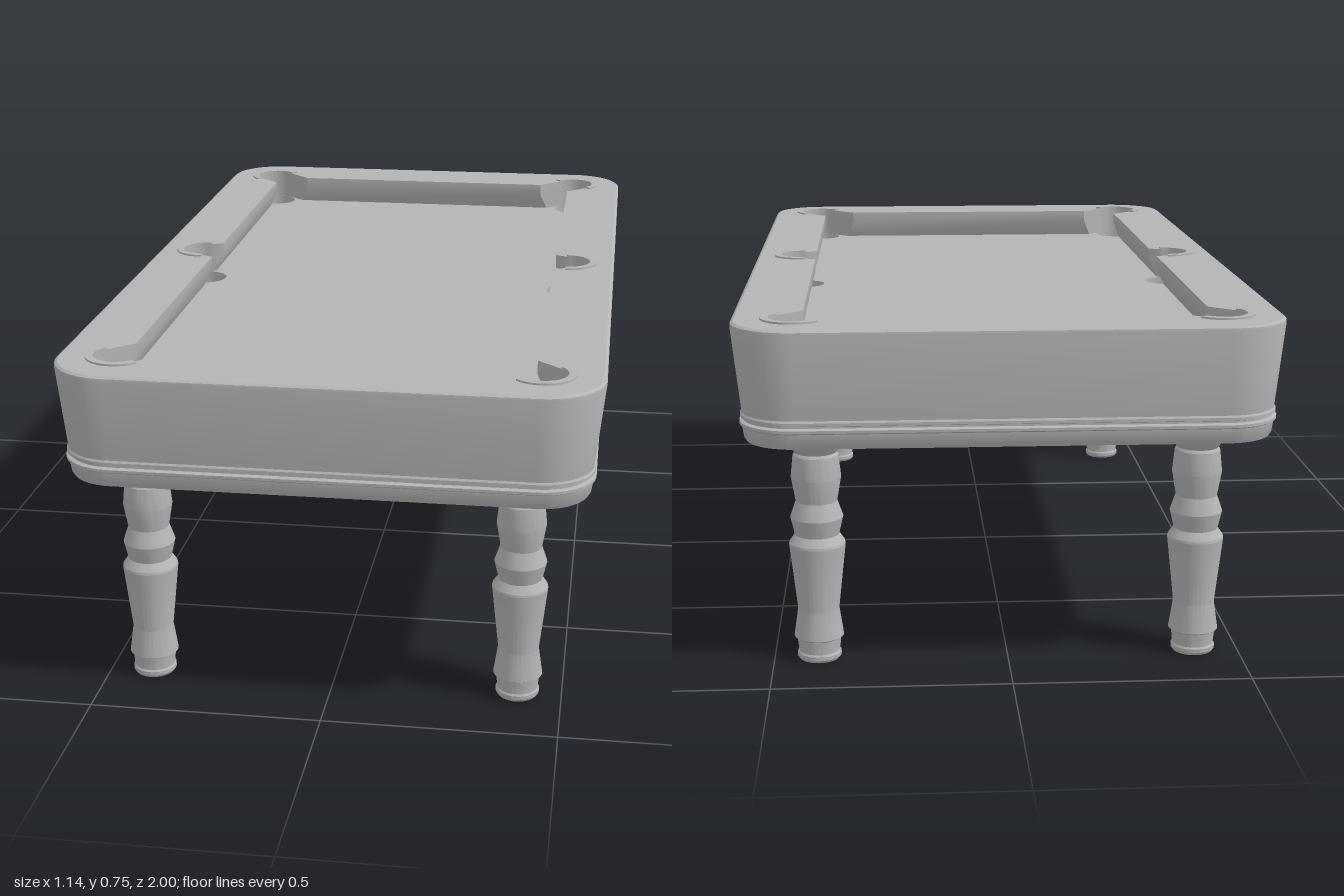
import * as THREE from 'three';
import { toCreasedNormals } from 'three/addons/utils/BufferGeometryUtils.js';

const TOP = 0.747, BED = 0.675, POCKET_R = 0.053, RIM_R = 0.07;
const CORNER = [0.44, 0.86], SIDE = [0.458, 0];

// Points along an arc, angles in degrees
function arc(cx, cy, r, from, to, n = 16) {
  return Array.from({ length: n + 1 }, (_, i) => {
    const a = THREE.MathUtils.degToRad(from + (to - from) * i / n);
    return new THREE.Vector2(cx + r * Math.cos(a), cy + r * Math.sin(a));
  });
}

// Repeats a quadrant outline (running from +x to +z) around all four quadrants
function fourfold(q) {
  const flip = (sx, sz) => q.map(p => new THREE.Vector2(p.x * sx, p.y * sz));
  return [...q, ...flip(-1, 1).reverse(), ...flip(-1, -1), ...flip(1, -1).reverse()];
}

// Rounded plan of the table at a given half width
function plan(halfWidth) {
  const r = halfWidth - 0.44;
  return fourfold(arc(0.44, 0.87, r, 0, 90, 10));
}

// Playing-area opening: side pocket, cushion nose, corner pocket
function opening(undercut) {
  return fourfold([
    ...arc(...SIDE, POCKET_R, 2, 95, 10),
    new THREE.Vector2(0.425 + undercut, 0.066),
    new THREE.Vector2(0.425 + undercut, 0.775 + undercut * 0.9),
    ...arc(...CORNER, POCKET_R, -43, 133, 18),
    new THREE.Vector2(0.345 + undercut * 0.9, 0.845 + undercut),
  ]);
}

// Skin between closed outlines; each ring is [outline, y]
function loft(rings) {
  const n = rings[0][0].length, pos = [], idx = [];
  for (const [pts, y] of rings) for (const p of pts) pos.push(p.x, y, p.y);
  for (let i = 0; i < rings.length - 1; i++) {
    for (let j = 0; j < n; j++) {
      const a = i * n + j, b = i * n + (j + 1) % n;
      idx.push(a, a + n, b, b, a + n, b + n);
    }
  }
  const g = new THREE.BufferGeometry();
  g.setAttribute('position', new THREE.Float32BufferAttribute(pos, 3));
  g.setIndex(idx);
  return toCreasedNormals(g, 0.5);
}

export function createModel() {
  const group = new THREE.Group();
  const grey = new THREE.MeshStandardMaterial({ color: 0xb4b4b4 });
  grey.name = 'grey';
  const add = (name, geometry, x = 0, y = 0, z = 0) => {
    const m = new THREE.Mesh(geometry, grey);
    m.name = name;
    m.position.set(x, y, z);
    group.add(m);
    return m;
  };

  // Cabinet sides with moulding and a recessed underside
  const profile = [
    [0.515, 0.53], [0.515, 0.5], [0.543, 0.5], [0.547, 0.507], [0.551, 0.532],
    [0.556, 0.535], [0.556, 0.541], [0.548, 0.544], [0.548, 0.548],
    [0.554, 0.55], [0.554, 0.556], [0.551, 0.56], [0.57, 0.737], [0.569, 0.743], [0.563, TOP],
  ];
  add('cabinet', loft(profile.map(([w, y]) => [plan(w), y])));
  const panel = new THREE.ShapeGeometry(new THREE.Shape(plan(0.515)));
  add('bottomPanel', panel.rotateX(Math.PI / 2), 0, 0.53);

  // Flat rail top around the opening
  const rail = new THREE.Shape(plan(0.563));
  rail.holes.push(new THREE.Path(opening(0)));
  add('railTop', new THREE.ShapeGeometry(rail).rotateX(-Math.PI / 2), 0, TOP);

  // Cushions: a straight nose over an undercut
  add('cushions', loft([[opening(0), TOP], [opening(0), 0.718], [opening(0.02), BED]]));

  // Bed with six pocket holes
  const pockets = [];
  for (const sx of [1, -1]) {
    pockets.push([sx * SIDE[0], 0, sx > 0 ? -95 : 85, 190]);
    for (const sz of [1, -1]) {
      const mid = THREE.MathUtils.radToDeg(Math.atan2(sz, sx));
      pockets.push([sx * CORNER[0], sz * CORNER[1], mid - 92, 184]);
    }
  }
  const bed = new THREE.Shape(plan(0.53));
  for (const [x, z] of pockets) {
    bed.holes.push(new THREE.Path(arc(x, z, POCKET_R - 0.001, 0, 360, 32).slice(0, -1)));
  }
  const bedGeometry = new THREE.ExtrudeGeometry(bed, { depth: 0.06, bevelEnabled: false });
  add('bed', toCreasedNormals(bedGeometry.rotateX(Math.PI / 2), 0.5), 0, BED);

  // Pocket floors and raised C-shaped rims
  for (const [x, z, start, sweep] of pockets) {
    add('pocketFloor', new THREE.CircleGeometry(0.056, 32).rotateX(-Math.PI / 2), x, BED - 0.055, z);
    const rim = new THREE.Shape([
      ...arc(0, 0, RIM_R, start, start + sweep, 24),
      ...arc(0, 0, POCKET_R, start + sweep, start, 24),
    ]);
    const g = new THREE.ExtrudeGeometry(rim, { depth: 0.008, bevelEnabled: false });
    add('pocketRim', toCreasedNormals(g.rotateX(Math.PI / 2), 0.5), x, 0.751, z);
  }

  // Turned legs
  const turning = [
    [0, 0], [0.043, 0], [0.047, 0.006], [0.047, 0.014], [0.044, 0.018], [0.047, 0.047],
    [0.053, 0.051], [0.044, 0.112], [0.06, 0.255], [0.059, 0.26], [0.047, 0.277],
    [0.056, 0.315], [0.044, 0.35], [0.053, 0.402], [0.048, 0.45],
    [0.044, 0.456], [0.075, 0.498], [0.075, 0.53],
  ].map(p => new THREE.Vector2(...p));
  const leg = toCreasedNormals(new THREE.LatheGeometry(turning, 32), 0.3);
  for (const x of [-0.404, 0.404]) for (const z of [-0.82, 0.82]) add('leg', leg, x, 0, z);

  return group;
}
